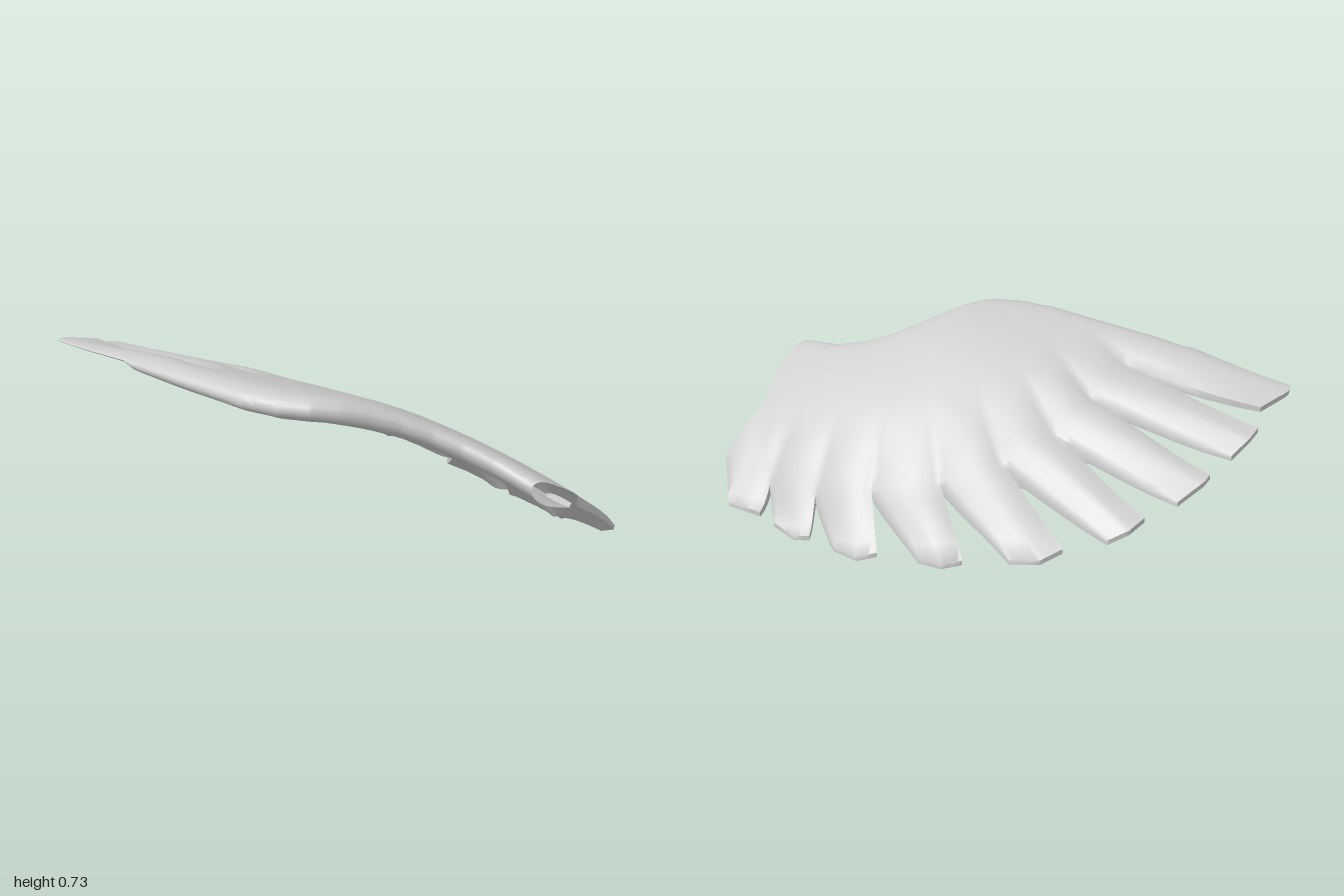
import * as THREE from 'three';
import { toCreasedNormals } from 'three/addons/utils/BufferGeometryUtils.js';

// Plan outline as [x, z]: leading edge and notches between feathers
const LEAD = [[.05, .55], [.2, .512], [.3, .455], [.38, .375], [.45, .28], [.51, .205], [.59, .13], [.68, .08], [.8, .045], [.965, .045]];
const NOTCH = [[-.4, .585], [-.4, .38], [-.36, .185], [-.33, 0], [-.2, -.165], [0, -.3], [.25, -.41], [.49, -.475], [.73, -.485], [.95, -.27]];
// Feather tip corners as [x, z, y]
const TIPS = [
  [[-.985, .588, .655], [-1, .55, .645], [-.95, .42, .615]],
  [[-.98, .35, .57], [-.98, .29, .555], [-.95, .21, .505]],
  [[-.92, .11, .465], [-.92, .07, .455], [-.87, -.03, .4]],
  [[-.79, -.12, .35], [-.77, -.19, .325], [-.71, -.24, .285]],
  [[-.58, -.33, .245], [-.53, -.4, .215], [-.42, -.44, .195]],
  [[-.24, -.48, .14], [-.18, -.53, .125], [-.08, -.54, .115]],
  [[.11, -.555, .075], [.18, -.595, .05], [.3, -.59, .045]],
  [[.43, -.585, .04], [.5, -.6, .022], [.62, -.585, .03]],
  [[.7, -.58, .045], [.87, -.585, .035], [1, -.46, .145]],
];
const EDGE = [TIPS[0][0], NOTCH[0], ...LEAD];
// Where the thick underside steps down to the bare feathers, at each notch
const STEP = [1.2, 1.2, 1.2, 1.2, 1.12, 1, .85, .75, .7, .7];
// v runs from leading edge (0) to notch (1) to tip (2)
const ROWS = [0, .015, .04, .08, .14, .22, .32, .44, .56, .64, .7, .76, .82, .88, .94, 1, 1.07, 1.14, 1.21, 1.28, 1.4, 1.6, 1.8, 2];
const COLS = 10;

const { lerp, clamp, smoothstep } = THREE.MathUtils;
const mix = (a, b, t) => a.map((value, k) => lerp(value, b[k], t));

// Distance to the leading edge in plan
function edgeDistance([x, z]) {
  let best = 9;
  for (let i = 0; i + 1 < EDGE.length; i++) {
    const [a, b] = [EDGE[i], EDGE[i + 1]];
    const dx = b[0] - a[0], dz = b[1] - a[1];
    const t = clamp(((x - a[0]) * dx + (z - a[1]) * dz) / (dx * dx + dz * dz), 0, 1);
    best = Math.min(best, Math.hypot(x - a[0] - dx * t, z - a[1] - dz * t));
  }
  return best;
}

// Cambered height of the wing, falling toward the tip and the root
const camber = new THREE.SplineCurve([.045, .27, .44, .565, .668, .732, .744].map((y, i) => new THREE.Vector2(i, y)));
function height([x, z]) {
  const y = camber.getPoint(clamp((z + .6) / 1.2, 0, 1)).y;
  const fall = .13 - .07 * smoothstep(z, .3, .55);
  return y - (x < .3 ? fall * (.3 - x) / 1.3 : .07 * ((x - .3) / .7) ** 2);
}

// Top and bottom points of feather panel i at (u, v)
function section(i, u, v) {
  const root = mix(LEAD[i], LEAD[i + 1], u);
  const notch = mix(NOTCH[i], NOTCH[i + 1], u);
  const [a, b, c] = TIPS[i];
  const tip = u < .5 ? mix(a, b, u * 2) : mix(b, c, u * 2 - 1);
  const s = Math.max(0, v - 1);
  const p = v <= 1 ? mix(root, notch, v) : mix(notch, tip.slice(0, 2), s);
  // The open root end bows outward
  if (i === TIPS.length - 1 && v < 1) p[0] += .03 * u * Math.sin(Math.PI * v);

  // Body thins toward the feathers and is rounded along the leading edge
  const step = lerp(STEP[i], STEP[i + 1], u);
  const body = lerp(.105, .068, Math.min(1, v / step)) + .012 * Math.sin(Math.PI * u) * smoothstep(v, .3, .8);
  const thick = lerp(body, lerp(.045, .02, s), smoothstep(v, step - .01, step + .07));
  const k = Math.max(0, 1 - edgeDistance(p) / .09);
  const round = (1 - Math.sqrt(Math.max(0, 1 - k * k))) * thick / 2;

  // Feathers droop along their edges and settle to their tip height
  const free = (i === 0 && u < .5) || (i === TIPS.length - 1 && u > .5);
  const arch = free ? 0 : .028 * (2 * u - 1) ** 2 * smoothstep(v, .55, 1.05) * (1 - s * s);
  const settle = (tip[2] - height(tip)) * smoothstep(s, 0, 1);
  const y = height(p) + settle - arch;
  return [[p[0], y - round, p[1]], [p[0], y - thick + round, p[1]]];
}

// Feather panel: top, underside, free sides and tip; the root end stays open
function panel(i, out) {
  const quad = (a, b, c, d) => out.push(...a, ...b, ...c, ...a, ...c, ...d);
  const grid = ROWS.map(v => Array.from({ length: COLS + 1 }, (_, j) => {
    const t = j / COLS;
    return section(i, i === 0 ? t ** 1.6 : t, v);
  }));
  const last = ROWS.length - 1;
  for (let r = 0; r < last; r++) {
    const [g, h] = [grid[r], grid[r + 1]];
    for (let j = 0; j < COLS; j++) {
      quad(g[j][0], g[j + 1][0], h[j + 1][0], h[j][0]);
      quad(g[j][1], h[j][1], h[j + 1][1], g[j + 1][1]);
    }
    if (ROWS[r] < 1) continue;
    if (i > 0) quad(g[0][0], h[0][0], h[0][1], g[0][1]);
    quad(g[COLS][0], g[COLS][1], h[COLS][1], h[COLS][0]);
  }
  for (let j = 0; j < COLS; j++) {
    const g = grid[last];
    quad(g[j][0], g[j + 1][0], g[j + 1][1], g[j][1]);
  }
}

export function createModel() {
  const group = new THREE.Group();
  group.name = 'wing';
  const plumage = new THREE.MeshStandardMaterial({ color: 0xcccccc, side: THREE.DoubleSide });
  plumage.name = 'plumage grey';

  // All panels are shaded together so the wing's back stays seamless
  const points = [], starts = [];
  TIPS.forEach((_, i) => { starts.push(points.length); panel(i, points); });
  starts.push(points.length);
  let whole = new THREE.BufferGeometry();
  whole.setAttribute('position', new THREE.Float32BufferAttribute(points, 3));
  whole.computeBoundingBox();
  whole.translate(0, -whole.boundingBox.min.y, 0);
  whole = toCreasedNormals(whole, .95);

  // One mesh for each feather and the part of the wing it grows from
  TIPS.forEach((_, i) => {
    const geometry = new THREE.BufferGeometry();
    for (const key of ['position', 'normal']) {
      const part = whole.attributes[key].array.slice(starts[i], starts[i + 1]);
      geometry.setAttribute(key, new THREE.BufferAttribute(part, 3));
    }
    const feather = new THREE.Mesh(geometry, plumage);
    feather.name = `feather${i + 1}`;
    group.add(feather);
  });
  return group;
}
